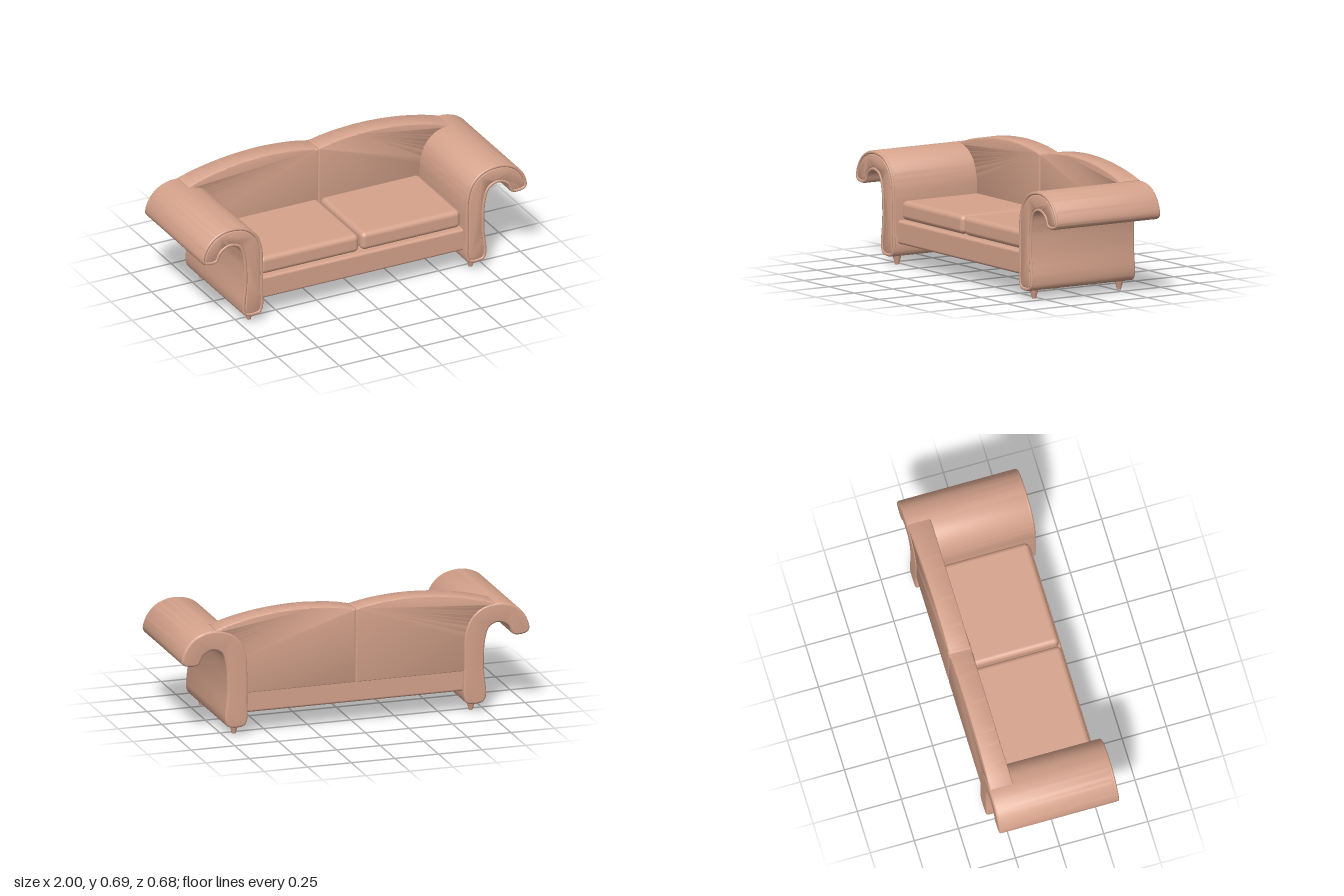
import * as THREE from 'three';
import { toCreasedNormals } from 'three/addons/utils/BufferGeometryUtils.js';
import { RoundedBoxGeometry } from 'three/addons/geometries/RoundedBoxGeometry.js';

const fabric = new THREE.MeshStandardMaterial({ color: 0xd6a38c });

// Scrolled arm outline for the +x side
const ARM = [
  [0.622, 0.085], [0.62, 0.2], [0.62, 0.36], [0.626, 0.45], [0.655, 0.53], [0.715, 0.587],
  [0.79, 0.609], [0.86, 0.606], [0.93, 0.575], [0.98, 0.515], [0.998, 0.45], [0.985, 0.428],
  [0.925, 0.418], [0.9, 0.428], [0.875, 0.475], [0.825, 0.5], [0.772, 0.482], [0.745, 0.41],
  [0.737, 0.26], [0.748, 0.085], [0.728, 0.054], [0.64, 0.054],
];

function add(parent, name, geometry, x = 0, y = 0, z = 0) {
  const mesh = new THREE.Mesh(geometry, fabric);
  mesh.name = name;
  mesh.position.set(x, y, z);
  parent.add(mesh);
  return mesh;
}

// Extrude between two z planes with rounded rims, keeping the outline (less an inset)
function padded(shape, z0, z1, bevel, inset = 0, curveSegments = 12) {
  const geo = new THREE.ExtrudeGeometry(shape, {
    depth: z1 - z0 - 2 * bevel, bevelEnabled: true, bevelThickness: bevel,
    bevelSize: bevel, bevelOffset: -bevel - inset, bevelSegments: 4, curveSegments,
  });
  geo.translate(0, 0, z0 + bevel);
  return toCreasedNormals(geo, 0.7);
}

function armOutline(side) {
  const pts = ARM.map(([x, y]) => new THREE.Vector3(side * x, y, 0));
  return new THREE.CatmullRomCurve3(pts, true, 'centripetal').getPoints(110).slice(0, -1);
}

// Move every outline point inward along its normal
function insetOutline(pts, d, side) {
  const n = pts.length;
  return pts.map((p, i) => {
    const t = pts[(i + 1) % n].clone().sub(pts[(i + n - 1) % n]).normalize();
    return new THREE.Vector3(p.x + side * t.y * d, p.y - side * t.x * d, 0);
  });
}

function buildArm(side) {
  const arm = new THREE.Group();
  arm.name = side > 0 ? 'leftArm' : 'rightArm';
  const outline = armOutline(side);
  const shape = new THREE.Shape(outline.map((p) => new THREE.Vector2(p.x, p.y)));
  add(arm, 'armBody', padded(shape, -0.34, 0.334, 0.012));
  // Piping framing the front face
  const path = new THREE.CatmullRomCurve3(insetOutline(outline, 0.01, side), true);
  add(arm, 'armPiping', new THREE.TubeGeometry(path, 160, 0.01, 8, true), 0, 0, 0.33);
  add(arm, 'armFrontPanel', padded(shape, 0.32, 0.338, 0.004, 0.02));
  // Tapered feet
  for (const z of [0.277, -0.275]) {
    add(arm, 'foot', new THREE.CylinderGeometry(0.027, 0.011, 0.06, 20), side * 0.68, 0.03, z);
  }
  return arm;
}

// One half of the humped backrest
function backShape(side) {
  const s = new THREE.Shape();
  const v = (x, y) => new THREE.Vector2(side * x, y);
  s.moveTo(side * 0.001, 0.24);
  s.lineTo(side * 0.64, 0.24);
  s.lineTo(side * 0.64, 0.42);
  s.splineThru([v(0.67, 0.52), v(0.73, 0.578), v(0.8, 0.595)]);
  s.lineTo(side * 0.8, 0.613);
  s.splineThru([v(0.7, 0.643), v(0.58, 0.668), v(0.45, 0.684), v(0.3, 0.69), v(0.16, 0.682), v(0.07, 0.67), v(0.001, 0.655)]);
  s.closePath();
  return s;
}

// Backrest with rounded long edges and a slight narrowing towards the top
function buildBack(side) {
  const geo = padded(backShape(side), -0.336, -0.205, 0.008);
  const p = geo.attributes.position;
  for (let i = 0; i < p.count; i++) {
    const x = Math.abs(p.getX(i)), z = p.getZ(i);
    const slim = THREE.MathUtils.smoothstep(p.getY(i), 0.6, 0.69) * 0.1;
    if (x > 0.01) p.setZ(i, -0.27 + (z + 0.27) * (1 - slim));
  }
  return toCreasedNormals(geo, 0.7);
}

export function createModel() {
  const sofa = new THREE.Group();
  sofa.name = 'sofa';

  // Upholstered seat base
  add(sofa, 'seatBase', new RoundedBoxGeometry(1.28, 0.13, 0.63, 4, 0.015), 0, 0.187, -0.005);

  for (const side of [1, -1]) {
    sofa.add(buildArm(side));
    add(sofa, side > 0 ? 'leftBackrest' : 'rightBackrest', buildBack(side));
    add(sofa, side > 0 ? 'leftSeatCushion' : 'rightSeatCushion',
      new RoundedBoxGeometry(0.608, 0.105, 0.505, 5, 0.028), side * 0.311, 0.308, 0.042);
  }
  return sofa;
}
